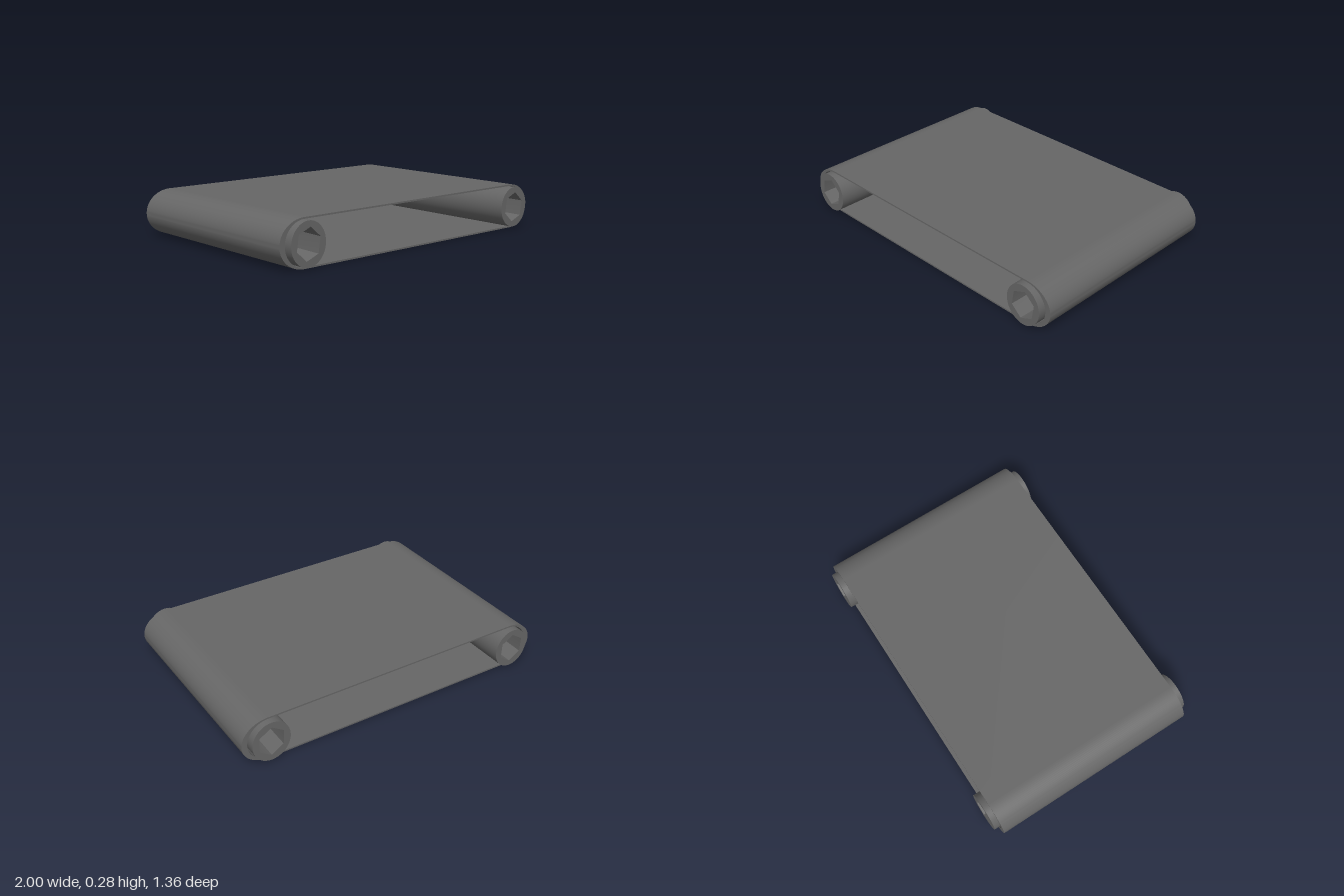
import * as THREE from 'three';
import { toCreasedNormals } from 'three/addons/utils/BufferGeometryUtils.js';

const AXLE_X = 0.835, AXLE_Y = 0.1375;

// Stadium outline with elliptical ends
function stadium(Curve, rx, ry) {
  const s = new Curve();
  s.moveTo(-AXLE_X, -ry);
  s.lineTo(AXLE_X, -ry);
  s.absellipse(AXLE_X, 0, rx, ry, -Math.PI / 2, Math.PI / 2, false);
  s.lineTo(-AXLE_X, ry);
  s.absellipse(-AXLE_X, 0, rx, ry, Math.PI / 2, Math.PI * 1.5, false);
  return s;
}

// Belt loop: thin on the runs, thicker round the ends
function beltGeometry() {
  const shape = stadium(THREE.Shape, 0.165, 0.1375);
  shape.holes.push(stadium(THREE.Path, 0.13, 0.128));
  const g = new THREE.ExtrudeGeometry(shape, { depth: 1.29, bevelEnabled: false, curveSegments: 24 });
  g.translate(0, 0, -0.645);
  return toCreasedNormals(g, Math.PI / 5);
}

// Roller with a slightly twisted hexagonal bore
function rollerGeometry() {
  const shape = new THREE.Shape();
  shape.absellipse(0, 0, 0.117, 0.125, 0, Math.PI * 2, false);
  const bore = [];
  for (let i = 0; i < 6; i++) {
    const a = (i / 6) * Math.PI * 2 + 1.4;
    bore.push(new THREE.Vector2(Math.cos(a) * 0.085, Math.sin(a) * 0.092));
  }
  shape.holes.push(new THREE.Path(bore));
  const g = new THREE.ExtrudeGeometry(shape, { depth: 1.36, bevelEnabled: false, curveSegments: 24 });
  g.translate(0, 0, -0.68);
  const p = g.attributes.position;
  const v = new THREE.Vector3(), axis = new THREE.Vector3(0, 0, 1);
  for (let i = 0; i < p.count; i++) {
    v.fromBufferAttribute(p, i);
    if (Math.hypot(v.x, v.y) < 0.1 && v.z < 0) {
      v.applyAxisAngle(axis, 0.2);
      p.setXYZ(i, v.x, v.y, v.z);
    }
  }
  return toCreasedNormals(g, Math.PI / 9);
}

export function createModel() {
  const group = new THREE.Group();
  group.name = 'conveyorBelt';
  const rubber = new THREE.MeshStandardMaterial({ color: 0x666666 });
  rubber.name = 'darkGrey';

  const belt = new THREE.Mesh(beltGeometry(), rubber);
  belt.name = 'belt';
  belt.position.y = AXLE_Y;
  group.add(belt);

  // One roller at each end
  const geometry = rollerGeometry();
  for (const [name, side] of [['leftRoller', 1], ['rightRoller', -1]]) {
    const roller = new THREE.Mesh(geometry, rubber);
    roller.name = name;
    roller.position.set(side * AXLE_X, AXLE_Y, 0);
    group.add(roller);
  }
  return group;
}
